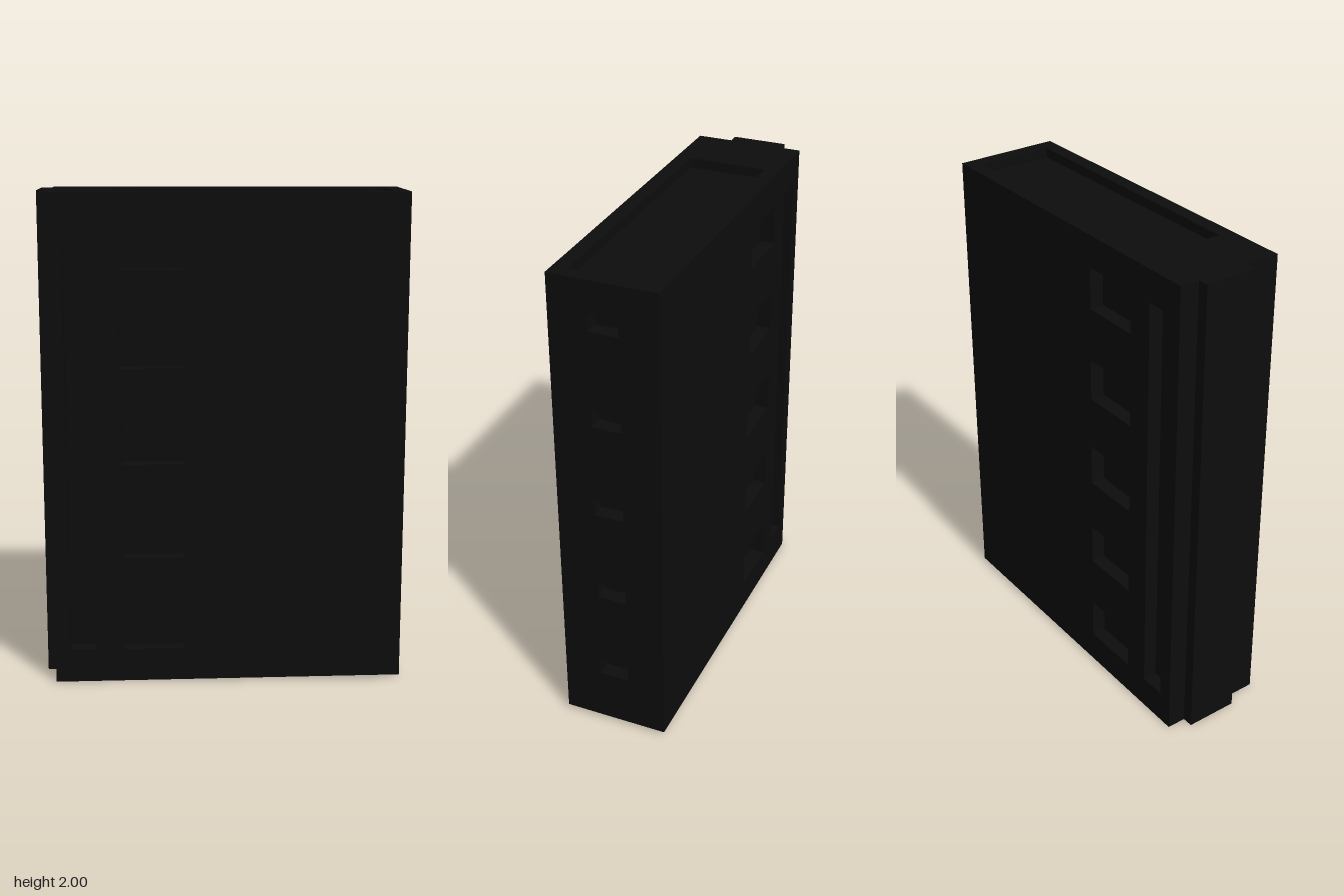
import * as THREE from 'three';

const material = new THREE.MeshStandardMaterial({ color: 0x0d0d0d });
const LEFT = 0.73, RIGHT = -0.69, TOP = 2, HALF = 0.22, WALL = 0.06;
const ROWS = [0.14, 0.53, 0.92, 1.31, 1.70];

function rect(Type, x0, x1, y0, y1) {
  return new Type([[x0, y0], [x1, y0], [x1, y1], [x0, y1]].map(p => new THREE.Vector2(...p)));
}

// flat panel in the xy plane with rectangular openings
function panel(outline, openings) {
  const shape = rect(THREE.Shape, ...outline);
  shape.holes = openings.map(o => rect(THREE.Path, ...o));
  return new THREE.ExtrudeGeometry(shape, { depth: WALL, bevelEnabled: false });
}

function block(x0, x1, y0, y1, z0, z1) {
  return new THREE.BoxGeometry(x1 - x0, y1 - y0, z1 - z0)
    .translate((x0 + x1) / 2, (y0 + y1) / 2, (z0 + z1) / 2);
}

// slight taper toward the slotted side: thinner, with a rising bottom edge
function taper(geometry) {
  const p = geometry.attributes.position;
  for (let i = 0; i < p.count; i++) {
    const t = Math.max(0, (p.getX(i) - RIGHT) / (LEFT - RIGHT));
    p.setZ(i, p.getZ(i) * (1 - 0.02 * t));
    if (p.getY(i) < 0.005) p.setY(i, 0.015 * t);
  }
  geometry.computeVertexNormals();
  return geometry;
}

export function createModel() {
  const group = new THREE.Group();
  const add = (name, geometry) => {
    const mesh = new THREE.Mesh(taper(geometry), material);
    mesh.name = name;
    group.add(mesh);
  };
  const inner = HALF - WALL;

  // core forms the floors of all recesses
  add('core', block(RIGHT, LEFT - WALL, 0, TOP - 0.04, -inner, inner));

  // broad faces: five windows and one long groove each
  const windows = ROWS.map(y => [-0.41, -0.16, y, y + 0.17]);
  const groove = [-0.63, -0.52, 0.14, 1.87];
  const face = [RIGHT, LEFT, 0, TOP];
  add('frontPanel', panel(face, [...windows, groove]).translate(0, 0, inner));
  add('backPanel', panel(face, [...windows, groove]).translate(0, 0, -HALF));

  // narrow side with five small slots
  const slots = ROWS.map(y => [-0.06, 0.06, y + 0.10, y + 0.17]);
  add('sidePanel', panel([-inner, inner, 0, TOP], slots)
    .rotateY(Math.PI / 2).translate(LEFT - WALL, 0, 0));

  // raised end beside the shallow top recess
  add('topEnd', block(RIGHT, -0.44, TOP - 0.04, TOP, -inner, inner));

  // off-centre rail along the other narrow side
  add('sideRail', block(-0.735, RIGHT, 0, TOP, -0.14, 0.08));
  return group;
}
